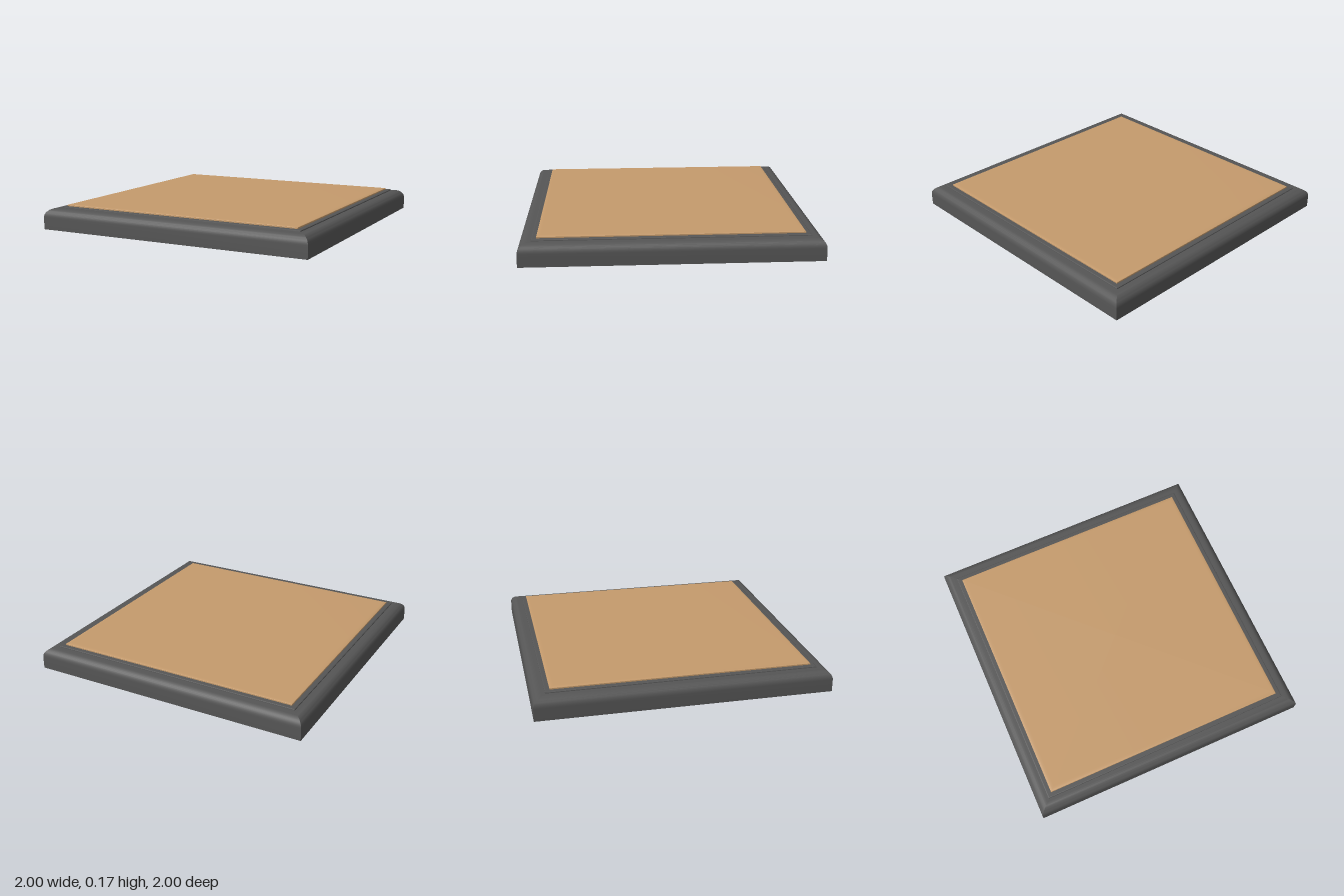
import * as THREE from 'three';
import { toCreasedNormals } from 'three/addons/utils/BufferGeometryUtils.js';

// Square, mitred solid from a [halfWidth, y] profile running bottom to top
function squareSolid(name, profile, color) {
  const points = profile.map(([half, y]) => new THREE.Vector2(half * Math.SQRT2, y));
  const lathe = new THREE.LatheGeometry(points, 4, Math.PI / 4);
  const mesh = new THREE.Mesh(
    toCreasedNormals(lathe, 0.45),
    new THREE.MeshStandardMaterial({ color })
  );
  mesh.name = name;
  return mesh;
}

// Quarter-round edge ending at the given outer half width and top height
function roundedEdge(half, top, rx, ry, steps) {
  return Array.from({ length: steps + 1 }, (_, i) => {
    const a = (i / steps) * Math.PI / 2;
    return [half - rx + rx * Math.cos(a), top - ry + ry * Math.sin(a)];
  });
}

export function createModel() {
  const group = new THREE.Group();
  group.name = 'squareTile';
  const dark = 0x555555, tan = 0xc49a6c;

  // Base slab with rounded top edge
  group.add(squareSolid('base',
    [[0, 0], [1, 0], ...roundedEdge(1, 0.147, 0.065, 0.06, 10), [0, 0.147]], dark));

  // Thin raised border
  group.add(squareSolid('border',
    [[0, 0.14], [0.915, 0.14], ...roundedEdge(0.915, 0.156, 0.008, 0.005, 4), [0, 0.156]], dark));

  // Inlaid panel with softly eased edge
  group.add(squareSolid('panel',
    [[0, 0.15], [0.882, 0.15], ...roundedEdge(0.882, 0.17, 0.03, 0.006, 6), [0, 0.17]], tan));

  return group;
}
